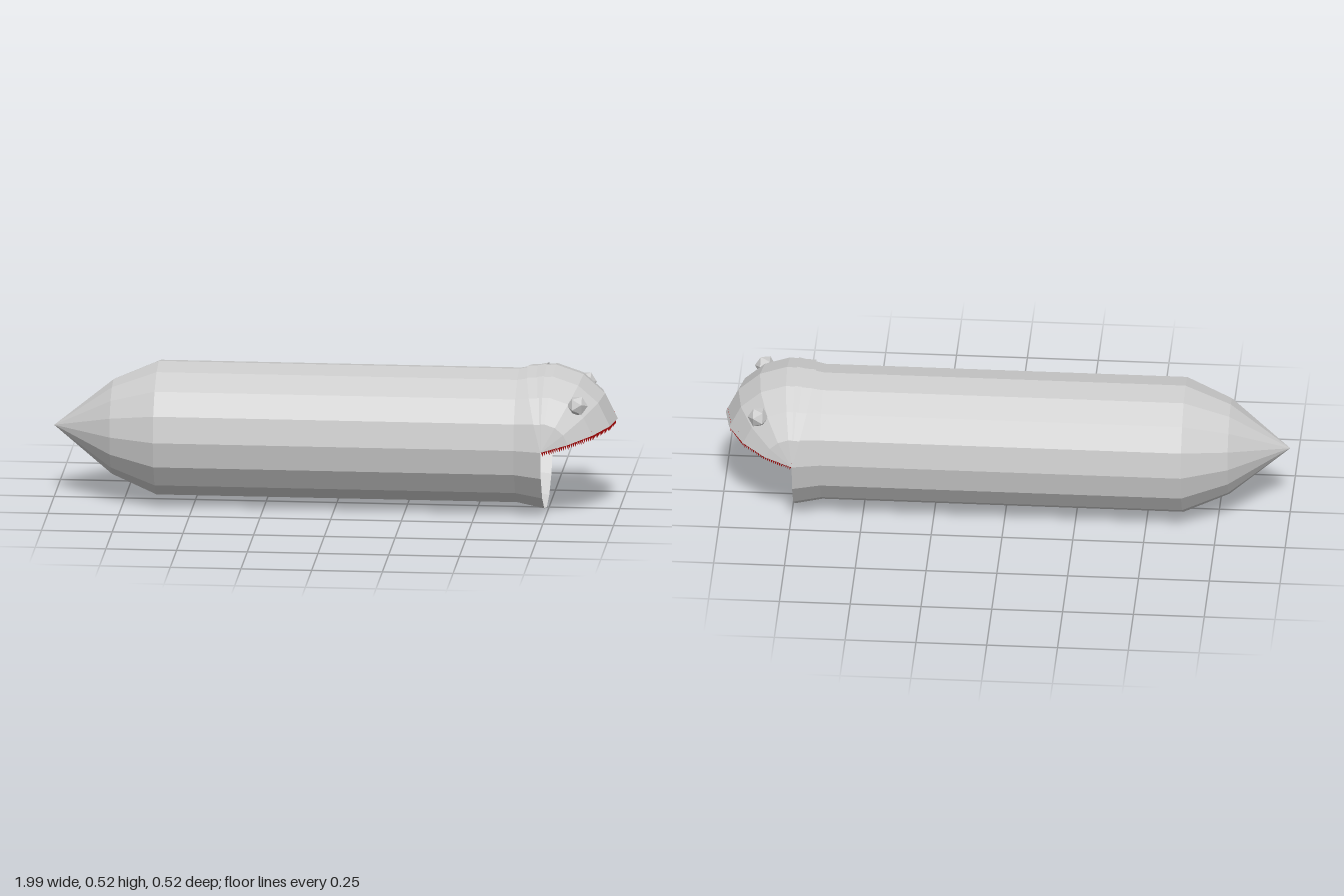
import * as THREE from 'three';
import { mergeGeometries } from 'three/addons/utils/BufferGeometryUtils.js';

const SIDES = 16, R = 0.26, AXIS_Y = 0.261, MOUTH_X = 0.742;

function material(color) {
  return new THREE.MeshStandardMaterial({ color, flatShading: true, side: THREE.DoubleSide });
}

function part(name, geometry, mat) {
  const mesh = new THREE.Mesh(geometry, mat);
  mesh.name = name;
  return mesh;
}

export function createModel() {
  const model = new THREE.Group();
  model.name = 'worm';
  const grey = material(0xcccccc);
  const blue = material(0x0a18e0);
  const red = material(0xb00808);

  // hollow body, open at the mouth, pointed at the tail
  const profile = [[0, -1], [0.17, -0.79], [0.24, -0.63], [0.24, 0.645], [R, MOUTH_X]]
    .map(([r, x]) => new THREE.Vector2(r, x));
  const body = part('body', new THREE.LatheGeometry(profile, SIDES).rotateZ(-Math.PI / 2), grey);
  body.position.y = AXIS_Y;
  model.add(body);

  // upper jaw: quarter sphere with its poles at the mouth corners, tipped open
  const head = new THREE.Group();
  head.name = 'head';
  head.position.set(MOUTH_X, AXIS_Y, 0);
  head.rotation.z = Math.PI / 12;
  const dome = new THREE.SphereGeometry(R, SIDES / 4, SIDES / 2, Math.PI / 2, Math.PI / 2);
  head.add(part('upperJaw', dome.rotateX(-Math.PI / 2), grey));

  // roof of the mouth, slightly recessed in the jaw
  const roof = new THREE.CircleGeometry(0.252, SIDES / 2, -Math.PI / 2, Math.PI).rotateX(Math.PI / 2);
  roof.translate(0, 0.027, 0);
  head.add(part('mouthRoof', roof, blue));

  // row of small teeth along the jaw rim
  const teeth = [];
  const count = 100, step = Math.PI / (SIDES / 2);
  for (let i = 0; i < count; i++) {
    const a = -Math.PI / 2 + Math.PI * (i + 0.5) / count;
    // follow the straight sides of the rim
    const local = (a + Math.PI / 2) % step - step / 2;
    const r = (R * Math.cos(step / 2)) / Math.cos(local) - 0.011;
    const tooth = new THREE.ConeGeometry(0.009, 0.034, 5).rotateX(Math.PI);
    tooth.translate(r * Math.cos(a), -0.001, r * Math.sin(a));
    teeth.push(tooth);
  }
  head.add(part('teeth', mergeGeometries(teeth), red));
  model.add(head);

  // low upright wall behind the roof of the mouth
  const wall = part('mouthBack', new THREE.PlaneGeometry(0.5, 0.028).rotateY(Math.PI / 2), blue);
  wall.position.set(MOUTH_X - 0.004, AXIS_Y + 0.014, 0);
  model.add(wall);

  // faceted eyes, one corner pointing forward
  const eyeShape = new THREE.IcosahedronGeometry(0.037, 0)
    .rotateZ(-Math.atan((1 + Math.sqrt(5)) / 2));
  for (const [name, side] of [['rightEye', 1], ['leftEye', -1]]) {
    const eye = part(name, eyeShape, grey);
    eye.position.set(0.866, 0.415, 0.18 * side);
    model.add(eye);
  }
  return model;
}
